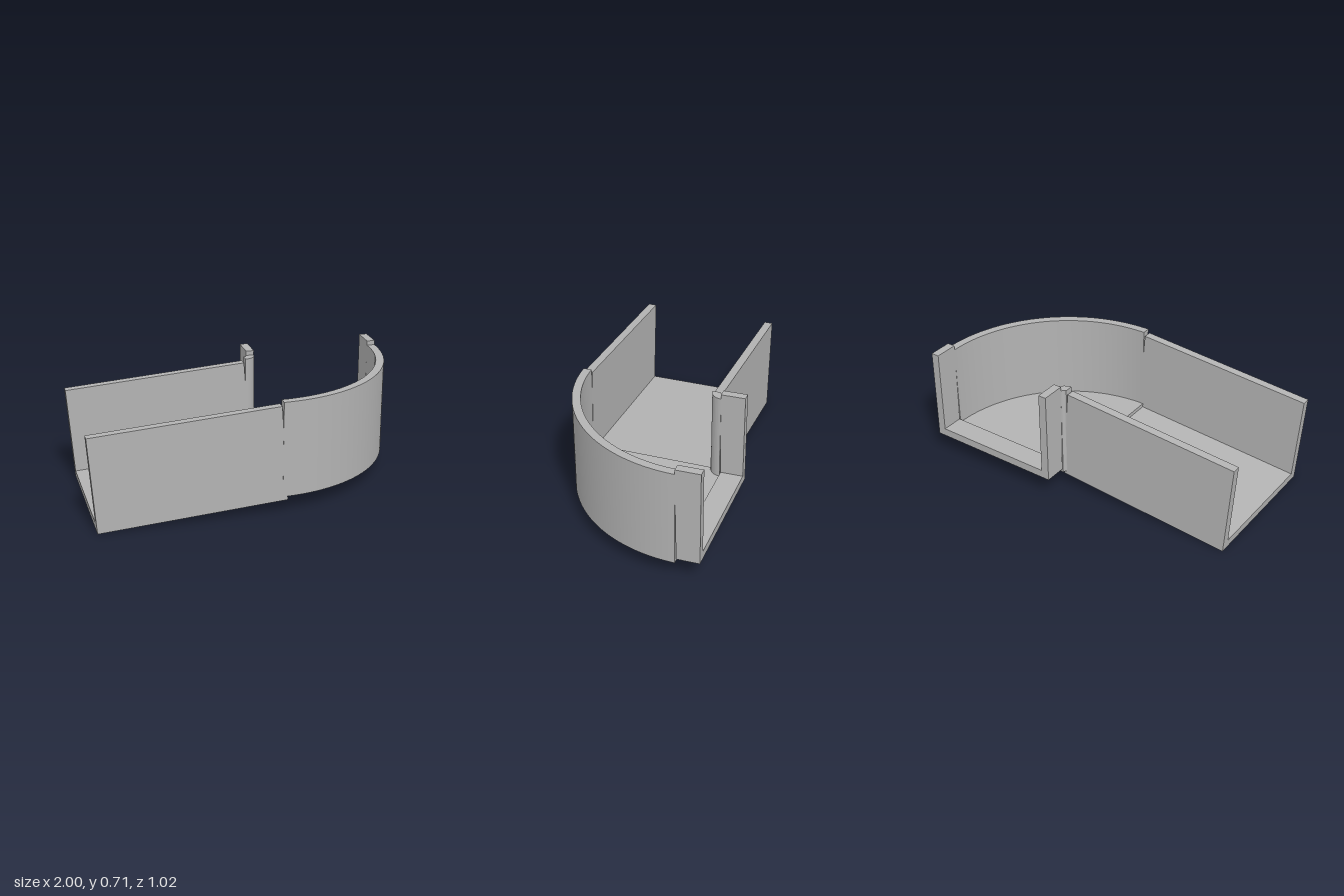
import * as THREE from 'three';
import { toCreasedNormals } from 'three/addons/utils/BufferGeometryUtils.js';

const WALL = 0.05, HEIGHT = 0.58, WIDTH = 0.855;
const INNER = 0.022, OUTER = INNER + WIDTH; // bend radii

// Open channel section, standing on y = 0 and running from x = 0 to WIDTH
function channelShape() {
  const w = WIDTH, t = WALL, h = HEIGHT;
  return new THREE.Shape([
    [0, 0], [w, 0], [w, h], [w - t, h], [w - t, t], [t, t], [t, h], [0, h],
  ].map(([x, y]) => new THREE.Vector2(x, y)));
}

// Quarter ring between two radii, raised upwards
function quarterRing(r0, r1, height) {
  const shape = new THREE.Shape();
  shape.absarc(0, 0, r1, -Math.PI / 2, 0, false);
  shape.absarc(0, 0, r0, 0, -Math.PI / 2, true);
  const geo = new THREE.ExtrudeGeometry(shape, { depth: height, bevelEnabled: false, curveSegments: 48 });
  geo.rotateX(-Math.PI / 2);
  return toCreasedNormals(geo, 0.5);
}

export function createModel() {
  const model = new THREE.Group();
  model.name = 'channelBend';
  const grey = new THREE.MeshStandardMaterial({ color: 0xb3b3b3 });
  grey.name = 'plain grey';

  const add = (name, geo, parent = model) => {
    const mesh = new THREE.Mesh(geo, grey);
    mesh.name = name;
    parent.add(mesh);
    return mesh;
  };

  // Long straight channel, climbing gently towards the bend
  const straight = new THREE.ExtrudeGeometry(channelShape(), { depth: 1.115, bevelEnabled: false });
  straight.rotateY(Math.PI / 2);
  const ramp = add('slopedChannel', straight);
  ramp.position.set(-0.96, 0, 0.51);
  ramp.rotation.z = 0.07;

  // Level quarter bend: outer wall, inner wall and floor
  const bend = new THREE.Group();
  bend.name = 'curvedChannel';
  bend.position.set(0.122, 0.1, -0.366);
  model.add(bend);
  add('outerWall', quarterRing(OUTER - WALL, OUTER, HEIGHT), bend);
  add('innerWall', quarterRing(INNER, INNER + WALL, HEIGHT), bend);
  add('bendFloor', quarterRing(INNER + WALL, OUTER - WALL, WALL), bend);

  // Short exit channel, its near end leaning and its floor rising slightly
  const exit = new THREE.ExtrudeGeometry(channelShape(), { depth: 0.136, bevelEnabled: false });
  const p = exit.attributes.position;
  for (let i = 0; i < p.count; i++) {
    const y = p.getY(i), z = p.getZ(i);
    if (z > 0.1) p.setXYZ(i, p.getX(i), y - 0.002, z + y * 0.0175);
  }
  exit.computeVertexNormals();
  add('exitChannel', exit).position.set(0.144, 0.13, -0.51);

  return model;
}
